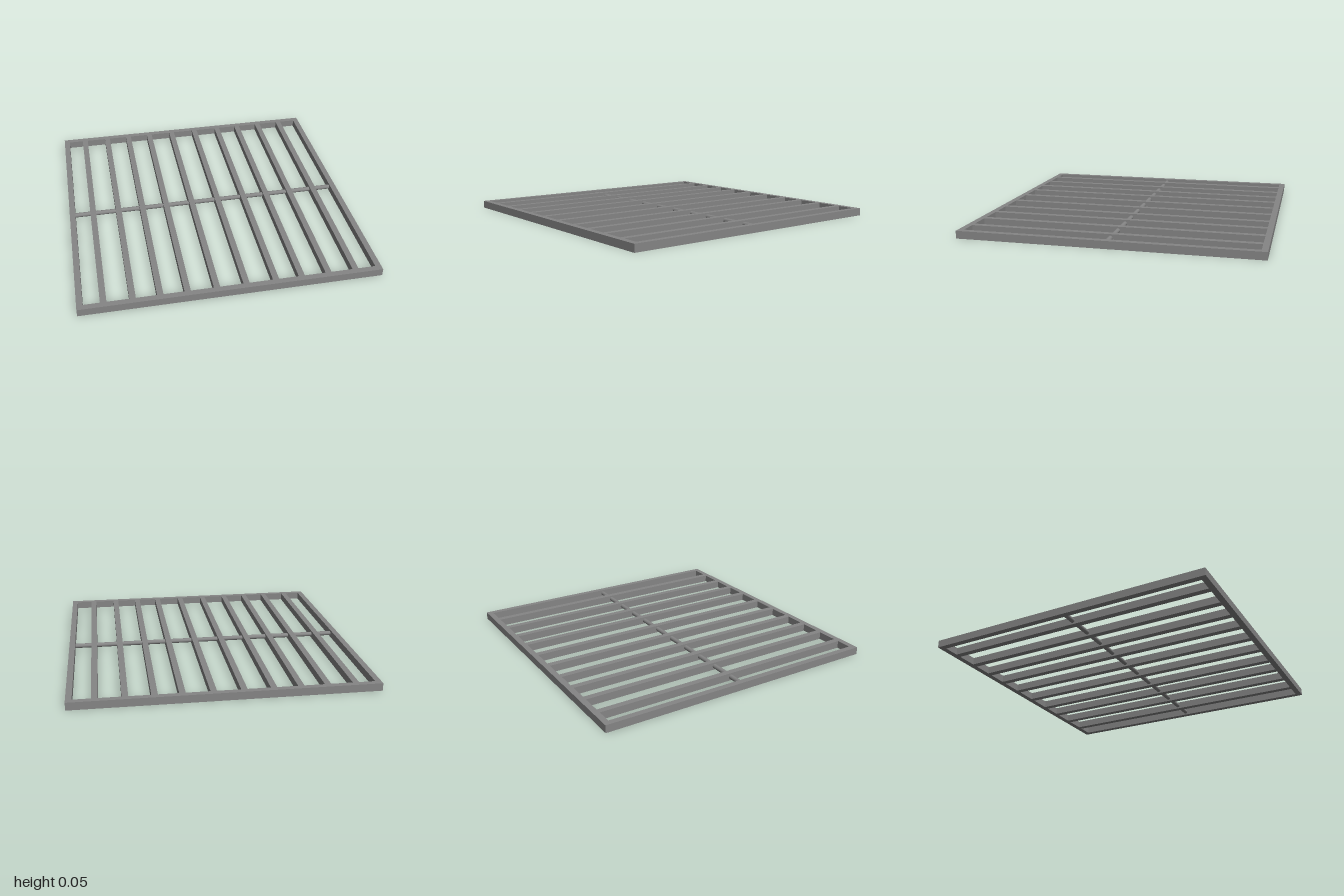
import * as THREE from 'three';

const HEIGHT = 0.052, RAIL = 0.04;

export function createModel() {
  const model = new THREE.Group();
  const material = new THREE.MeshStandardMaterial({ color: 0x858585 });

  function add(name, geometry, x, z) {
    const mesh = new THREE.Mesh(geometry, material);
    mesh.name = name;
    mesh.position.set(x, HEIGHT / 2, z);
    model.add(mesh);
    return mesh;
  }

  // Square outer frame: full-width front and back rails, side rails between
  const inner = 2 - 2 * RAIL;
  const edge = 1 - RAIL / 2;
  add('frontRail', new THREE.BoxGeometry(2, HEIGHT, RAIL), 0, edge);
  add('backRail', new THREE.BoxGeometry(2, HEIGHT, RAIL), 0, -edge);
  add('leftRail', new THREE.BoxGeometry(RAIL, HEIGHT, inner), edge, 0);
  add('rightRail', new THREE.BoxGeometry(RAIL, HEIGHT, inner), -edge, 0);

  // Slightly uneven row of bars running front to back
  const barGeometry = new THREE.BoxGeometry(0.041, HEIGHT, inner);
  const barX = [-0.832, -0.648, -0.473, -0.297, -0.107, 0.087, 0.283, 0.456, 0.638, 0.823];
  barX.forEach((x, i) => add('bar' + (i + 1), barGeometry, x, 0));

  // Thin round rod threaded through the middle of the bars
  const rod = add('crossRod', new THREE.CylinderGeometry(0.016, 0.016, inner, 20), 0, 0.005);
  rod.rotation.z = Math.PI / 2;

  return model;
}
